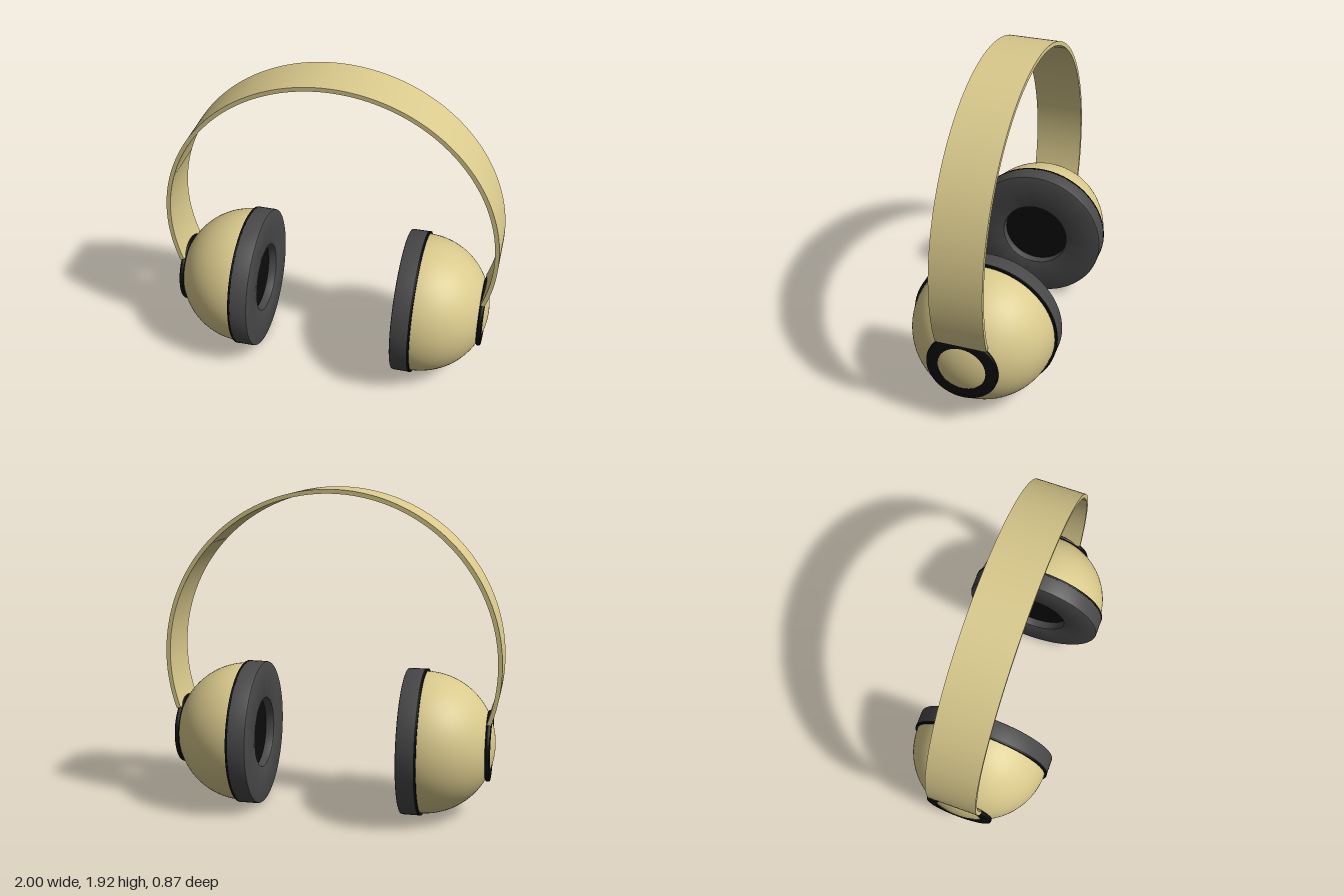
import * as THREE from 'three';
import { toCreasedNormals } from 'three/addons/utils/BufferGeometryUtils.js';

const gold = new THREE.MeshStandardMaterial({ color: 0xd9c98c });
const grey = new THREE.MeshStandardMaterial({ color: 0x484848 });
const black = new THREE.MeshStandardMaterial({ color: 0x0c0c0c });

const CUP_Y = 0.437;

function addMesh(parent, name, geometry, material) {
  const mesh = new THREE.Mesh(geometry, material);
  mesh.name = name;
  parent.add(mesh);
  return mesh;
}

// Revolves [radius, x] points around the x axis, keeping sharp edges
function revolve(points, segments = 72) {
  const profile = points.map(([r, x]) => new THREE.Vector2(r, x));
  const geometry = new THREE.LatheGeometry(profile, segments);
  geometry.rotateZ(-Math.PI / 2);
  return toCreasedNormals(geometry, 0.6);
}

// One ear cup, facing outwards along +x
function makeEarCup(name) {
  const cup = new THREE.Group();
  cup.name = name;

  // Domed shell
  const dome = new THREE.SphereGeometry(0.422, 72, 32, 0, Math.PI * 2, 0, Math.PI / 2);
  dome.rotateZ(-Math.PI / 2);
  addMesh(cup, 'shell', dome, gold).position.x = 0.545;

  // Thin seam between shell and cushion
  addMesh(cup, 'seam', revolve([
    [0, 0.54], [0.436, 0.54], [0.436, 0.553], [0.41, 0.553],
  ]), black);

  // Cushion with a rounded rim and a recessed opening
  addMesh(cup, 'cushion', revolve([
    [0.21, 0.49], [0.21, 0.445], [0.213, 0.438], [0.22, 0.435],
    [0.425, 0.435], [0.432, 0.438], [0.435, 0.445],
    [0.435, 0.543], [0.21, 0.543], [0.21, 0.49],
  ]), grey);

  // Dark speaker cover at the bottom of the opening
  addMesh(cup, 'speakerCover', revolve([[0, 0.487], [0.214, 0.487], [0.214, 0.5]]), black);

  // Trim ring around the outer end of the shell
  addMesh(cup, 'trimRing', revolve([
    [0.14, 0.917], [0.2, 0.917], [0.207, 0.92], [0.21, 0.926],
    [0.21, 0.936], [0.207, 0.942], [0.2, 0.945], [0.14, 0.945], [0.14, 0.917],
  ]), black);

  cup.position.y = CUP_Y;
  return cup;
}

// Flat strip bent over the head, a little more than half a circle
function makeHeadband() {
  const end = 0.335;
  const shape = new THREE.Shape();
  shape.absarc(0, 0, 1, -end, Math.PI + end, false);
  shape.absarc(0, 0, 0.975, Math.PI + end, -end, true);
  shape.closePath();
  const geometry = new THREE.ExtrudeGeometry(shape, {
    depth: 0.3, bevelEnabled: false, curveSegments: 96,
  });
  geometry.translate(0, 0, -0.15);
  return toCreasedNormals(geometry, 0.6);
}

export function createModel() {
  const model = new THREE.Group();
  model.name = 'headphones';

  addMesh(model, 'headband', makeHeadband(), gold).position.y = 0.925;

  const left = makeEarCup('leftEarCup');
  const right = makeEarCup('rightEarCup');
  right.rotation.y = Math.PI;
  model.add(left, right);
  return model;
}
